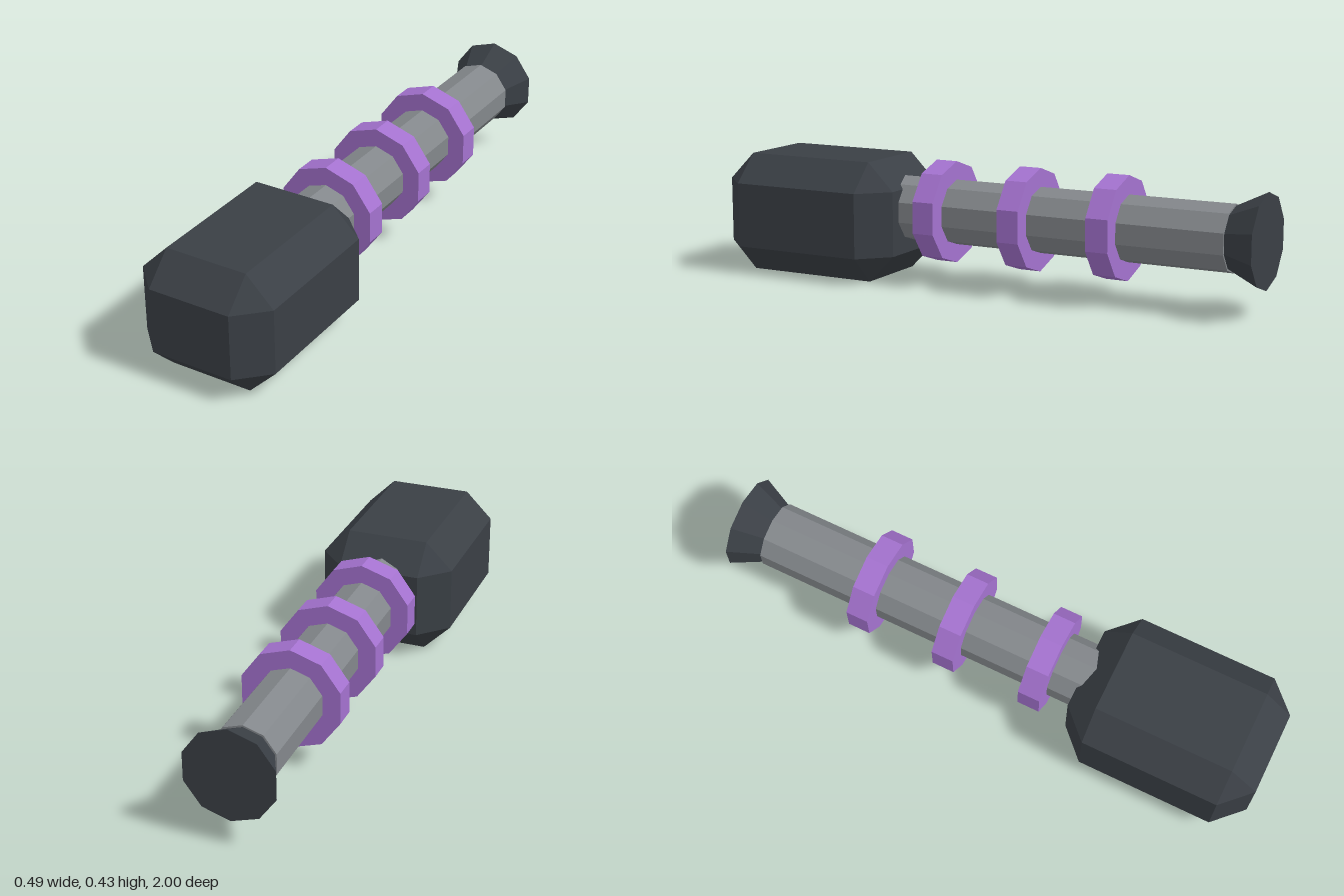
import * as THREE from 'three';
import { ConvexGeometry } from 'three/addons/geometries/ConvexGeometry.js';

const AXIS_Y = 0.25; // height of the handle's axis

function material(name, color) {
  const m = new THREE.MeshStandardMaterial({ color });
  m.name = name;
  return m;
}

// Box with every edge cut off by a flat chamfer
function chamferedBox(w, h, d, c) {
  const points = [];
  for (const sx of [-1, 1]) for (const sy of [-1, 1]) for (const sz of [-1, 1]) {
    const x = w / 2, y = h / 2, z = d / 2;
    for (const [px, py, pz] of [[x, y - c, z - c], [x - c, y, z - c], [x - c, y - c, z]]) {
      points.push(new THREE.Vector3(sx * px, sy * py, sz * pz));
    }
  }
  return new ConvexGeometry(points);
}

// Ten-sided bar along z, with a corner pointing up
function decagonBar(frontRadius, backRadius, zFront, zBack) {
  const geometry = new THREE.CylinderGeometry(backRadius, frontRadius, zFront - zBack, 10)
    .rotateX(-Math.PI / 2)
    .translate(0, AXIS_Y, (zFront + zBack) / 2)
    .toNonIndexed();
  geometry.computeVertexNormals();
  return geometry;
}

export function createModel() {
  const group = new THREE.Group();
  group.name = 'mace';
  const dark = material('darkSlate', 0x3a3f45);
  const grey = material('handleGrey', 0x83878b);
  const purple = material('gripPurple', 0xa472cf);
  for (const m of [dark, grey, purple]) m.flatShading = true;

  const add = (name, geometry, mat) => {
    const mesh = new THREE.Mesh(geometry, mat);
    mesh.name = name;
    group.add(mesh);
    return mesh;
  };

  // Heavy chamfered head at the front
  add('head', chamferedBox(0.49, 0.426, 0.686, 0.098), dark).position.set(0, 0.213, 0.657);

  // Handle, sunk into the head
  add('handle', decagonBar(0.115, 0.115, 0.5, -0.89), grey);

  // Grip rings
  [0.18, -0.147, -0.475].forEach((z, i) => {
    add(`gripRing${i + 1}`, decagonBar(0.18, 0.18, z + 0.04, z - 0.04), purple);
  });

  // Flared pommel
  add('pommel', decagonBar(0.106, 0.162, -0.885, -1), dark);

  return group;
}
